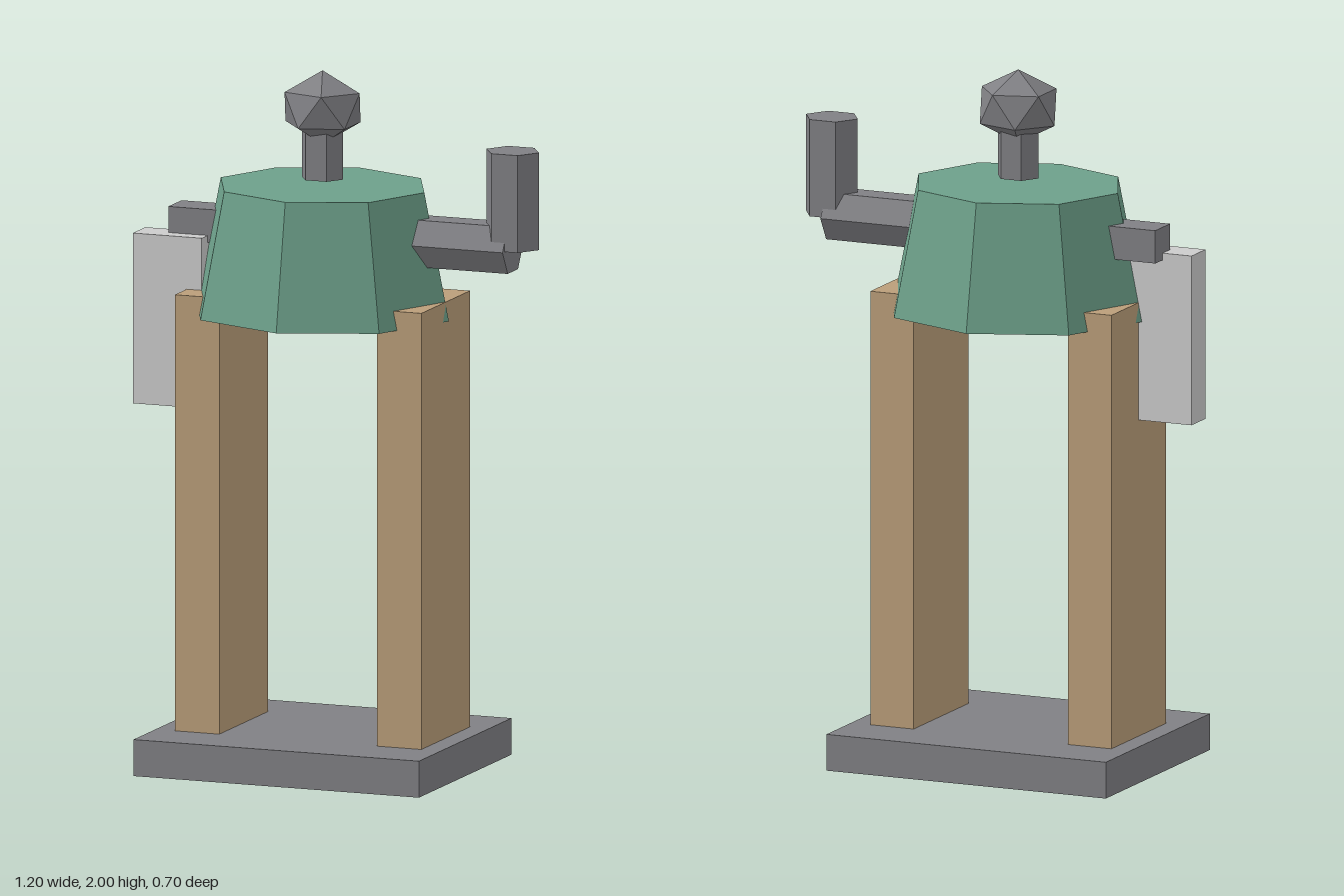
import * as THREE from 'three';
import { ConvexGeometry } from 'three/addons/geometries/ConvexGeometry.js';

const material = (color) => new THREE.MeshStandardMaterial({ color, flatShading: true });

export function createModel() {
  const group = new THREE.Group();
  const iron = material(0x808084);
  const wood = material(0xba9e79);
  const green = material(0x6da08a);
  const pale = material(0xcccccc);
  const midX = -0.06;
  const stretch = 1.1; // the whole figure is slightly wider than deep

  function add(name, geometry, mat, x, y, z) {
    const mesh = new THREE.Mesh(geometry, mat);
    mesh.name = name;
    mesh.position.set(x, y, z);
    group.add(mesh);
    return mesh;
  }

  // box from its minimum and maximum corners
  function addBox(name, mat, [x0, y0, z0], [x1, y1, z1]) {
    return add(name, new THREE.BoxGeometry(x1 - x0, y1 - y0, z1 - z0), mat,
      (x0 + x1) / 2, (y0 + y1) / 2, (z0 + z1) / 2);
  }

  // upright hexagonal post with corners on the x axis
  function addPost(name, radius, x, y0, y1) {
    const geometry = new THREE.CylinderGeometry(radius, radius, y1 - y0, 6, 1, false, Math.PI / 2);
    geometry.scale(stretch, 1, 1);
    return add(name, geometry, iron, x, (y0 + y1) / 2, 0);
  }

  // base plate and the two plank legs
  addBox('base', iron, [-0.495, 0, -0.35], [0.375, 0.105, 0.35]);
  for (const [name, side] of [['leftLeg', 1], ['rightLeg', -1]]) {
    const x = midX + side * 0.308;
    addBox(name, wood, [x - 0.0675, 0.105, -0.184], [x + 0.0675, 1.36, 0.184]);
  }

  // eight-sided tapered body
  const body = new THREE.CylinderGeometry(0.282, 0.35, 0.365, 8);
  body.scale(stretch, 1, 1);
  add('body', body, green, midX, 1.4875, 0);

  // neck
  addPost('neck', 0.057, midX, 1.69, 1.85);

  // twenty-sided head: two poles and two staggered rings of five
  const headPoints = [new THREE.Vector3(0, 0.106, 0), new THREE.Vector3(0, -0.106, 0)];
  for (let i = 0; i < 10; i++) {
    const a = i * Math.PI / 5;
    headPoints.push(new THREE.Vector3(
      0.113 * Math.cos(a), i % 2 ? -0.0474 : 0.0474, 0.103 * Math.sin(a)));
  }
  add('head', new ConvexGeometry(headPoints), iron, midX, 1.894, 0);

  // left arm: level upper arm and raised forearm
  const upperArm = new THREE.CylinderGeometry(0.078, 0.078, 0.28, 6);
  upperArm.rotateZ(Math.PI / 2);
  add('leftUpperArm', upperArm, iron, 0.38, 1.53, 0);
  addPost('leftForearm', 0.073, 0.52, 1.53, 1.81);

  // right arm stub carrying a shield
  addBox('rightArm', iron, [-0.51, 1.49, -0.05], [-0.33, 1.585, 0.05]);
  addBox('shield', pale, [-0.6, 1.02, 0], [-0.39, 1.51, 0.095]);

  return group;
}
